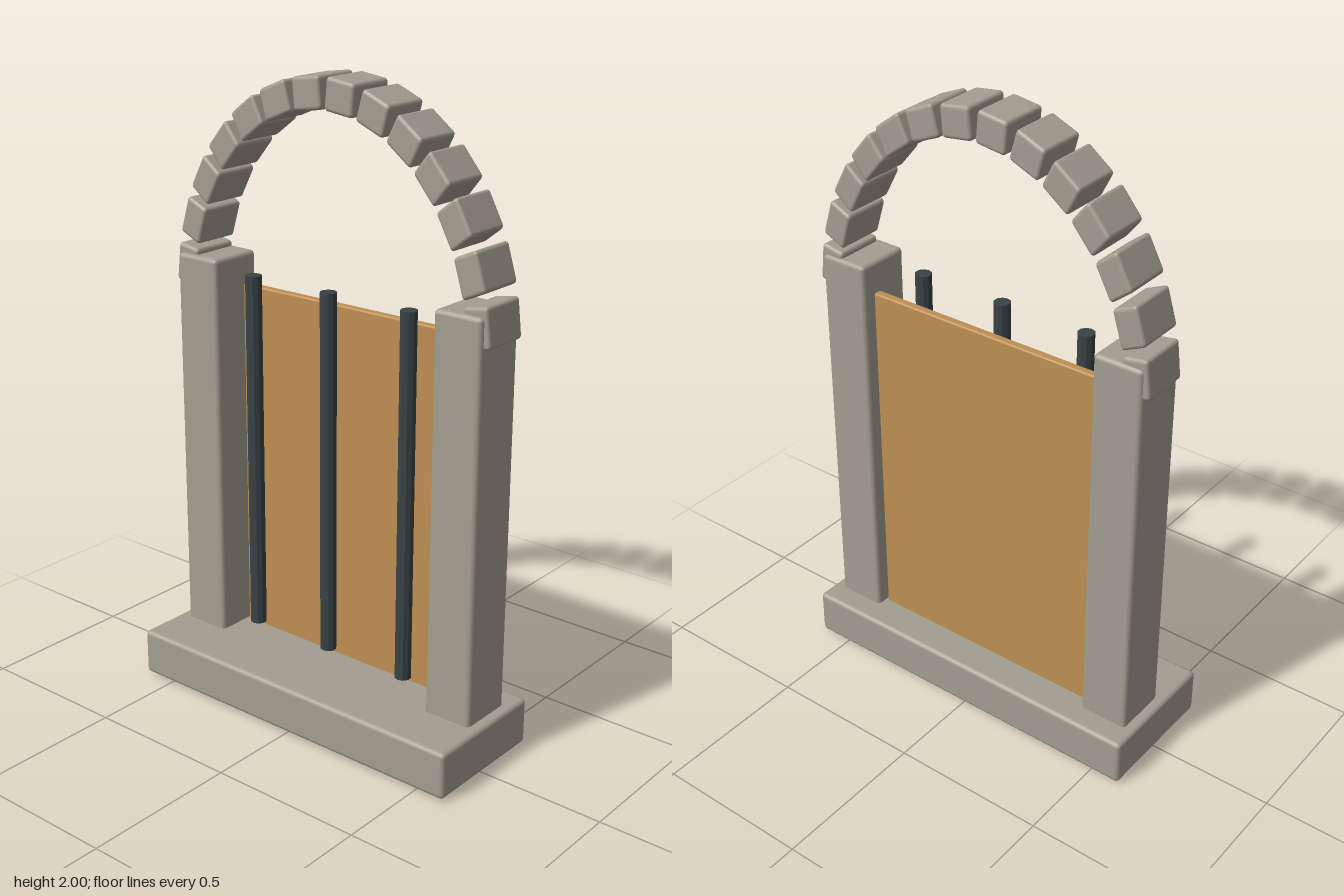
import * as THREE from 'three';
import { RoundedBoxGeometry } from 'three/addons/geometries/RoundedBoxGeometry.js';

const stone = new THREE.MeshStandardMaterial({ color: 0xa39e90 });
const wood = new THREE.MeshStandardMaterial({ color: 0xbd8f52 });
const iron = new THREE.MeshStandardMaterial({ color: 0x3a4246, flatShading: true });

function block(name, size, position, material, bevel = 0.014) {
  const mesh = new THREE.Mesh(new RoundedBoxGeometry(...size, 2, bevel), material);
  mesh.name = name;
  mesh.position.set(...position);
  return mesh;
}

// Ring of stones on a half circle, stretched upwards as a whole
function createArch() {
  const arch = new THREE.Group();
  arch.name = 'arch';
  const count = 14, radius = 0.55, start = THREE.MathUtils.degToRad(8);
  for (let i = 0; i < count; i++) {
    const angle = start + (Math.PI - 2 * start) * i / (count - 1);
    const position = [radius * Math.cos(angle), radius * Math.sin(angle), 0];
    const archStone = block('archStone', [0.08, 0.1, 0.16], position, stone, 0.01);
    archStone.rotation.z = angle;
    arch.add(archStone);
  }
  arch.scale.y = 1.22;
  arch.position.set(0, 1.28, -0.05);
  return arch;
}

export function createModel() {
  const gate = new THREE.Group();
  gate.name = 'gate';

  // Threshold slab
  gate.add(block('base', [1.21, 0.15, 0.43], [0, 0.085, 0], stone));

  // Pillars pass through the slab down to the ground
  for (const side of [-1, 1]) {
    const name = side > 0 ? 'leftPillar' : 'rightPillar';
    gate.add(block(name, [0.16, 1.41, 0.183], [side * 0.491, 0.705, -0.047], stone));
  }
  gate.add(createArch());

  // Door panel near the back of the pillars
  gate.add(block('doorPanel', [0.81, 1.185, 0.028], [0, 0.7225, -0.087], wood, 0.006));

  // Upright bars in front of the panel
  const barGeometry = new THREE.CylinderGeometry(0.026, 0.026, 1.16, 10);
  for (const x of [-0.295, 0, 0.295]) {
    const bar = new THREE.Mesh(barGeometry, iron);
    bar.name = 'bar';
    bar.position.set(x, 0.795, 0);
    gate.add(bar);
  }
  return gate;
}
